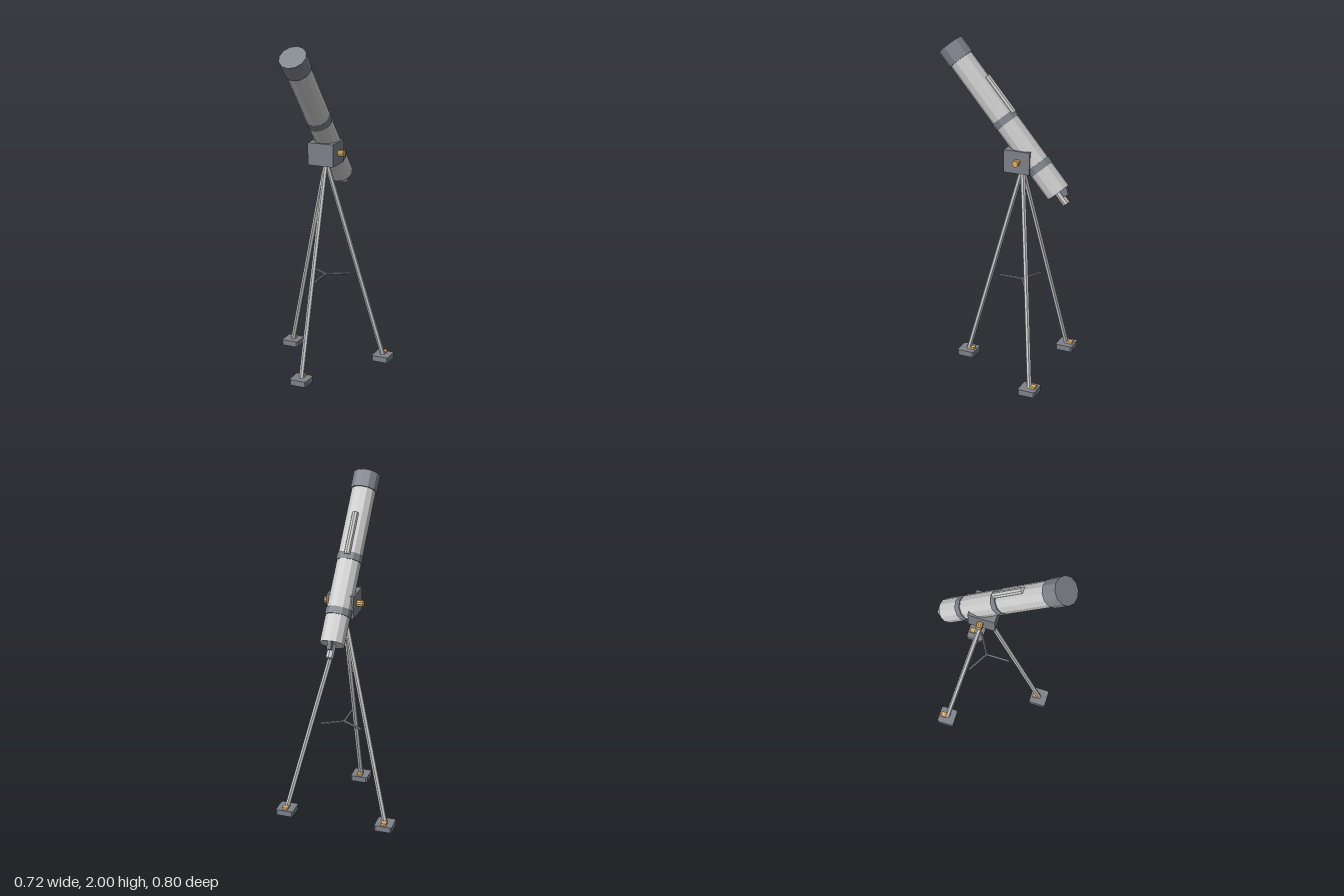
import * as THREE from 'three';

const paint = (color) => new THREE.MeshStandardMaterial({ color, flatShading: true });
const GREY = paint(0xcccccc), DARK = paint(0x7d8289), BRASS = paint(0xe0ac60);
const UP = new THREE.Vector3(0, 1, 0);

function add(parent, name, geometry, material, x = 0, y = 0, z = 0) {
  const mesh = new THREE.Mesh(geometry, material);
  mesh.name = name;
  mesh.position.set(x, y, z);
  parent.add(mesh);
  return mesh;
}

// Straight rod between two points
function rod(parent, name, a, b, radius, sides, material) {
  const dir = b.clone().sub(a);
  const mesh = add(parent, name, new THREE.CylinderGeometry(radius, radius, dir.length(), sides), material);
  mesh.position.copy(a).add(b).multiplyScalar(0.5);
  mesh.quaternion.setFromUnitVectors(UP, dir.normalize());
  return mesh;
}

// Flat pad with chamfered corners, standing on y = 0
function padGeometry(size, height, cut) {
  const h = size / 2, c = h - cut;
  const outline = [[h, -c], [h, c], [c, h], [-c, h], [-h, c], [-h, -c], [-c, -h], [c, -h]];
  const shape = new THREE.Shape(outline.map(([x, y]) => new THREE.Vector2(x, y)));
  return new THREE.ExtrudeGeometry(shape, { depth: height, bevelEnabled: false }).rotateX(-Math.PI / 2);
}

export function createModel() {
  const model = new THREE.Group();
  model.name = 'telescope';
  const hubZ = -0.104;

  // Optical tube: local +y runs along the tube to its front, local -z is its upper side
  const tube = new THREE.Group();
  tube.name = 'opticalTube';
  tube.position.set(0, 1.949, 0.344);
  tube.rotation.x = THREE.MathUtils.degToRad(40);
  model.add(tube);
  const section = (name, radius, from, to, material, sides = 12, z = 0) =>
    add(tube, name, new THREE.CylinderGeometry(radius, radius, to - from, sides), material, 0, -(from + to) / 2, z);
  section('mainTube', 0.072, 0.01, 1.04, GREY);
  section('frontCap', 0.08, 0, 0.105, DARK);
  section('frontRing', 0.077, 0.508, 0.55, DARK);
  section('rearRing', 0.077, 0.837, 0.879, DARK);
  section('finder', 0.019, 0.27, 0.525, GREY, 8, -0.071);
  section('eyepiece', 0.023, 1.03, 1.122, GREY, 8);

  // Thin wedge bracing the eyepiece
  const wedge = new THREE.Shape([[0.07, 0], [0.047, -0.046], [0.015, -0.04], [0.015, 0]]
    .map(([x, y]) => new THREE.Vector2(x, y)));
  const bracket = new THREE.ExtrudeGeometry(wedge, { depth: 0.024, bevelEnabled: false });
  bracket.translate(0, 0, -0.012).rotateY(Math.PI / 2);
  add(tube, 'eyepieceBracket', bracket, DARK, 0, -1.039, 0);

  // Mount head with a brass pivot through it
  add(model, 'mountHead', new THREE.BoxGeometry(0.16, 0.134, 0.158), DARK, 0, 1.325, -0.099);
  rod(model, 'pivot', new THREE.Vector3(-0.115, 1.327, hubZ), new THREE.Vector3(0.115, 1.327, hubZ), 0.019, 10, BRASS);

  // Tripod: three legs, feet and spreader arms
  const tripod = new THREE.Group();
  tripod.name = 'tripod';
  model.add(tripod);
  const top = new THREE.Vector3(0, 1.27, hubZ);
  const centre = new THREE.Vector3(0, 0.57, hubZ);
  for (let i = 0; i < 3; i++) {
    const angle = (i * Math.PI * 2) / 3;
    const at = (r, y) => new THREE.Vector3(r * Math.sin(angle), y, hubZ + r * Math.cos(angle));
    rod(tripod, 'leg', at(0.354, 0.03), top, 0.015, 6, GREY);
    rod(tripod, 'spreaderArm', centre, at(0.146, 0.57), 0.008, 6, DARK);
    const foot = at(0.354, 0);
    add(tripod, 'footPad', padGeometry(0.107, 0.035, 0.008), DARK, foot.x, 0, foot.z);
    add(tripod, 'footStud', new THREE.BoxGeometry(0.032, 0.03, 0.034), BRASS, foot.x, 0.034, foot.z - 0.024);
  }
  return model;
}
